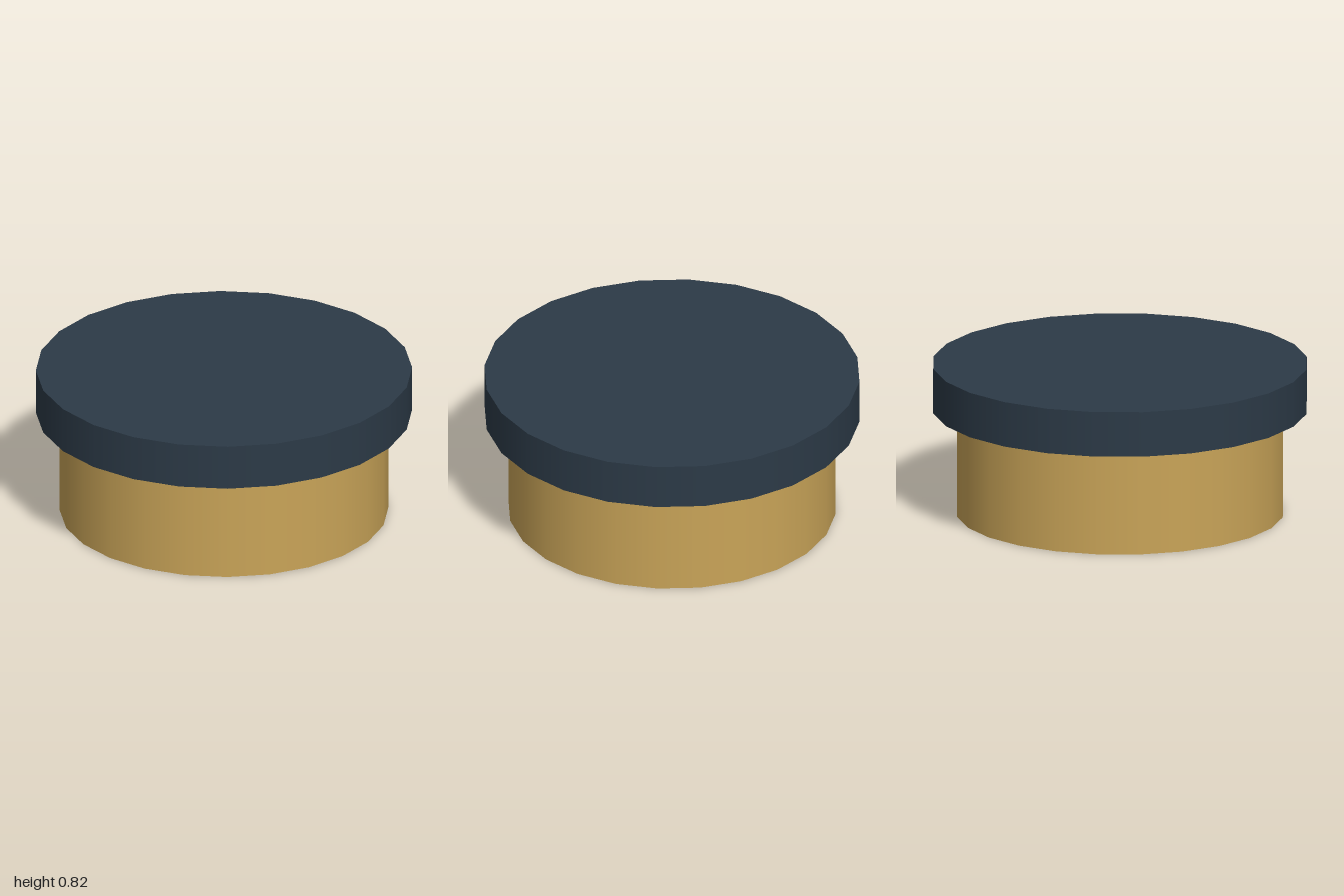
import * as THREE from 'three';

const SIDES = 24;

// Upright capped drum standing between two heights
function drum(name, radius, bottom, top, color) {
  const geometry = new THREE.CylinderGeometry(radius, radius, top - bottom, SIDES);
  const mesh = new THREE.Mesh(geometry, new THREE.MeshStandardMaterial({ color }));
  mesh.name = name;
  mesh.position.y = (bottom + top) / 2;
  return mesh;
}

export function createModel() {
  const model = new THREE.Group();
  model.name = 'liddedDrum';

  // Golden body with a wider dark lid resting on top
  model.add(drum('body', 0.873, 0, 0.573, 0xc9a458));
  model.add(drum('lid', 1, 0.573, 0.818, 0x2c3a47));

  return model;
}
